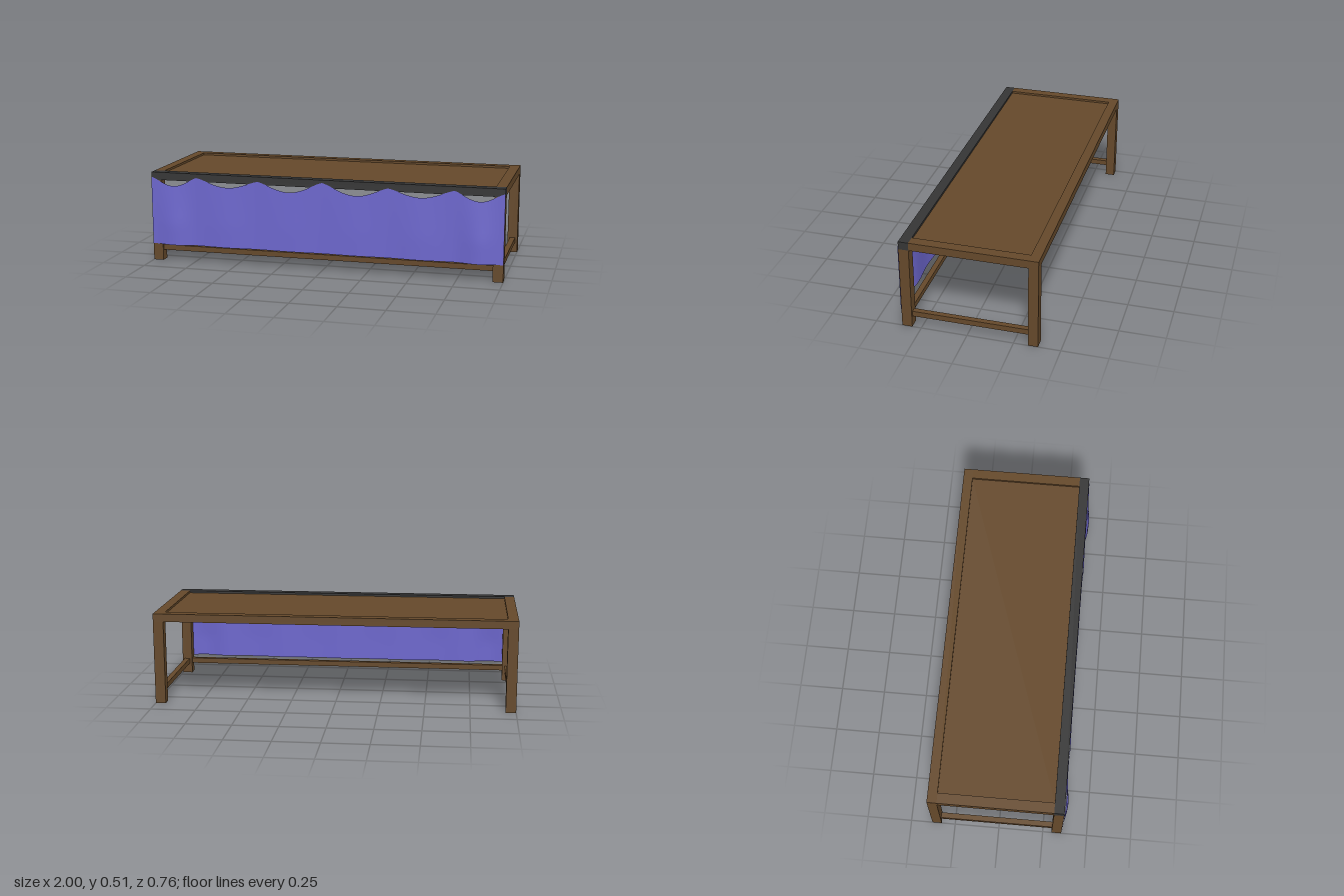
import * as THREE from 'three';

const WOOD = new THREE.MeshStandardMaterial({ color: 0x64482a });
const DARK = new THREE.MeshStandardMaterial({ color: 0x353535 });
const CLOTH = new THREE.MeshStandardMaterial({ color: 0x6c66cc, side: THREE.DoubleSide });

// Box given by its limits on each axis
function bar(group, name, [x0, x1], [y0, y1], [z0, z1], material = WOOD) {
  const mesh = new THREE.Mesh(new THREE.BoxGeometry(x1 - x0, y1 - y0, z1 - z0), material);
  mesh.position.set((x0 + x1) / 2, (y0 + y1) / 2, (z0 + z1) / 2);
  mesh.name = name;
  group.add(mesh);
}

// Hanging cloth: pinned at seven points, sagging and bulging between them
function curtain() {
  const pins = [0, 0.37, 0.73, 1];
  const heights = [0.495, 0.483, 0.488, 0.483];
  const sags = [0.057, 0.045, 0.05];
  const bulges = [0.006, 0.01, 0.021];
  const bottom = 0.097;
  const geo = new THREE.PlaneGeometry(2, 1, 120, 10);
  const pos = geo.attributes.position;
  for (let i = 0; i < pos.count; i++) {
    const x = pos.getX(i);
    const v = pos.getY(i) + 0.5;
    const a = Math.min(Math.abs(x), 1);
    const k = a < pins[1] ? 0 : a < pins[2] ? 1 : 2;
    const t = (a - pins[k]) / (pins[k + 1] - pins[k]);
    const wave = Math.max(0, Math.sin(Math.PI * t));
    const top = THREE.MathUtils.lerp(heights[k], heights[k + 1], t) - sags[k] * Math.pow(wave, 1.3);
    const drop = Math.min(1, 0.15 + (1 - v) * 1.3);
    pos.setXYZ(i, x, bottom + (top - bottom) * v, 0.358 + bulges[k] * wave * wave * drop);
  }
  geo.computeVertexNormals();
  const mesh = new THREE.Mesh(geo, CLOTH);
  mesh.name = 'curtain';
  return mesh;
}

export function createModel() {
  const model = new THREE.Group();
  model.name = 'curtainedTable';
  const front = [0.3, 0.355], back = [-0.38, -0.327];
  const rail = [0.466, 0.51], stretcher = [0.058, 0.088];

  // Legs, side rails and side stretchers, mirrored
  for (const s of [1, -1]) {
    const side = s > 0 ? 'left' : 'right';
    const x = s > 0 ? [0.943, 1] : [-1, -0.943];
    const xs = s > 0 ? [0.957, 0.987] : [-0.987, -0.957];
    bar(model, side + 'FrontLeg', x, [0, rail[0]], front);
    bar(model, side + 'BackLeg', x, [0, rail[0]], back);
    bar(model, side + 'TopRail', x, rail, [back[1], front[0]]);
    bar(model, side + 'Stretcher', xs, stretcher, [back[1], front[0]]);
  }

  // Long rails and the front stretcher
  bar(model, 'frontTopRail', [-1, 1], rail, front, DARK);
  bar(model, 'backTopRail', [-1, 1], rail, back);
  bar(model, 'frontStretcher', [-0.943, 0.943], stretcher, [0.313, 0.343]);

  // Slightly recessed top panel
  bar(model, 'topPanel', [-0.943, 0.943], [rail[0], 0.498], [back[1], front[0]]);

  model.add(curtain());
  return model;
}
